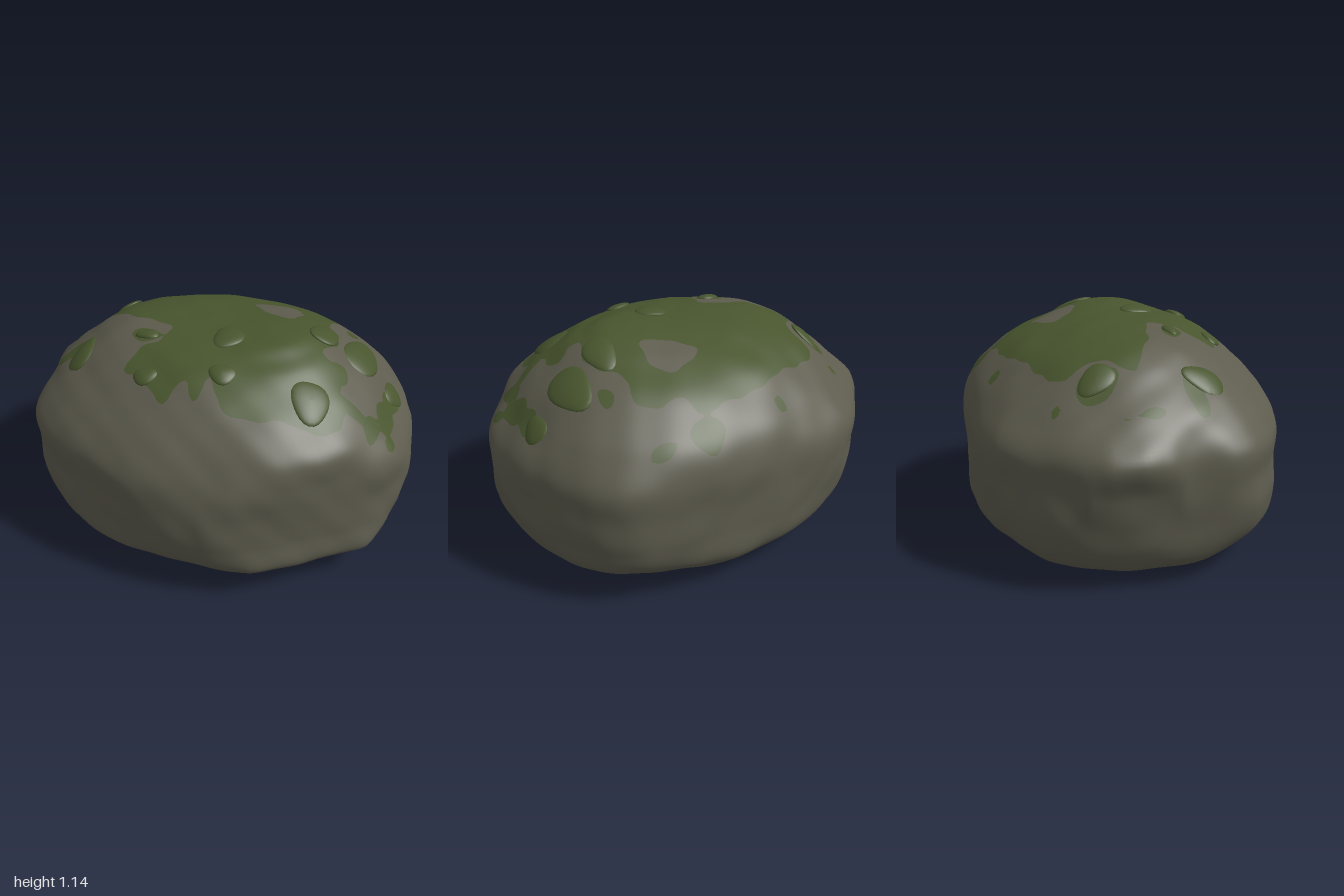
import * as THREE from 'three';

const COLS = 180, STEPS = 9;

// Plan outline of the boulder (x, z), counterclockwise seen from above
const PLAN = [
  [1, -0.06], [0.93, -0.3], [0.83, -0.5], [0.68, -0.67], [0.4, -0.75], [0.15, -0.78], [-0.2, -0.8], [-0.45, -0.77],
  [-0.65, -0.65], [-0.85, -0.45], [-0.99, -0.25], [-0.98, -0.05], [-0.93, 0.1], [-0.92, 0.3], [-0.8, 0.48],
  [-0.6, 0.63], [-0.4, 0.7], [-0.07, 0.78], [0.17, 0.79], [0.45, 0.67], [0.7, 0.48], [0.9, 0.3], [0.99, 0.1],
];

// Height, limits of the cross-section (x min, x max, z min, z max), squareness on the -x and +x side
const LEVELS = [
  [0.02, -0.11, -0.09, -0.01, 0.01, 2, 2], [0.01, -0.35, 0.15, -0.27, 0.25, 2, 2],
  [0.03, -0.67, 0.4, -0.52, 0.43, 2.1, 2.1], [0.1, -0.83, 0.75, -0.68, 0.61, 2.2, 2.3],
  [0.2, -0.89, 0.93, -0.77, 0.74, 2.4, 2.4], [0.35, -0.92, 0.985, -0.79, 0.785, 2.7, 2.7],
  [0.5, -0.95, 1, -0.8, 0.79, 2.8, 2.8], [0.66, -1, 0.97, -0.795, 0.76, 2.5, 2.7],
  [0.8, -0.88, 0.865, -0.74, 0.685, 2.05, 2.5], [0.92, -0.755, 0.76, -0.63, 0.58, 1.95, 2.4],
  [1.0, -0.65, 0.655, -0.52, 0.48, 2, 2.4], [1.07, -0.5, 0.55, -0.35, 0.36, 2, 2.3],
  [1.1, -0.34, 0.49, -0.25, 0.27, 2, 2.2], [1.13, 0.02, 0.41, -0.12, 0.16, 2, 2], [1.143, 0.24, 0.26, 0.01, 0.03, 2, 2],
];

// Main moss outline and the bare spot inside it (x, z)
const MOSS = [
  [-0.26, -0.53], [-0.13, -0.58], [0.09, -0.61], [0.27, -0.61], [0.31, -0.52], [0.43, -0.51], [0.5, -0.43], [0.48, -0.29],
  [0.55, -0.19], [0.56, -0.05], [0.52, 0.05], [0.62, 0.1], [0.66, 0.22], [0.7, 0.35], [0.6, 0.43], [0.46, 0.46],
  [0.33, 0.51], [0.17, 0.5], [0.08, 0.39], [0.04, 0.5], [-0.03, 0.42], [-0.11, 0.52], [-0.23, 0.44], [-0.36, 0.37],
  [-0.33, 0.27], [-0.24, 0.2], [-0.23, 0.08], [-0.34, 0.05], [-0.42, 0.03], [-0.55, -0.04], [-0.66, -0.1],
  [-0.55, -0.21], [-0.53, -0.33], [-0.56, -0.41], [-0.4, -0.5],
];
const BARE = [[0.08, -0.31], [0.15, -0.36], [0.28, -0.39], [0.33, -0.32], [0.32, -0.18], [0.22, -0.18]];

// Small moss patches: x, z, radius x, radius z
const PATCHES = [
  [0.27, -0.68, 0.08, 0.055], [0.48, -0.65, 0.07, 0.025], [-0.15, -0.66, 0.025, 0.03], [-0.65, -0.28, 0.07, 0.1],
  [-0.66, -0.47, 0.02, 0.025], [-0.83, -0.1, 0.018, 0.085], [-0.33, 0.17, 0.08, 0.045], [-0.75, 0.15, 0.1, 0.05],
  [0.86, 0.08, 0.045, 0.09], [0.82, 0.21, 0.035, 0.08], [0.91, 0.2, 0.022, 0.04], [0.71, 0.22, 0.08, 0.035],
  [0.62, 0.1, 0.05, 0.06], [0.6, -0.34, 0.03, 0.05], [0.86, -0.05, 0.04, 0.08],
];

// Raised moss cushions: x, z, radius x, radius z
const CUSHIONS = [
  [0.68, -0.17, 0.085, 0.15], [0.86, -0.13, 0.045, 0.08], [0.54, 0.32, 0.09, 0.1], [0.5, -0.12, 0.07, 0.11],
  [0.07, 0.12, 0.075, 0.085], [0.13, 0.36, 0.065, 0.05], [-0.68, 0.22, 0.065, 0.1], [-0.63, -0.27, 0.06, 0.085],
  [-0.24, 0.42, 0.06, 0.04], [-0.33, 0.17, 0.06, 0.035],
];
const CUSHION_HEIGHT = 0.017;

const smoothLoop = (points, n) =>
  new THREE.CatmullRomCurve3(points.map(([x, z]) => new THREE.Vector3(x, 0, z)), true).getPoints(n).slice(0, n);

const wobble = (x, y, z) =>
  Math.sin(7 * x + 3 * y + 1) * Math.sin(6 * z - 4 * y) + 0.5 * Math.sin(13 * x - 9 * z + 2) * Math.sin(14 * y + 5 * z)
  + 0.3 * Math.sin(24 * x + 11 * y) * Math.sin(23 * z - 17 * y);

// Signed distance to a closed outline, positive inside
function insideDistance(loop, x, z) {
  let best = Infinity, inside = false;
  loop.forEach((a, i) => {
    const b = loop[(i + 1) % loop.length], dx = b.x - a.x, dz = b.z - a.z;
    const t = THREE.MathUtils.clamp(((x - a.x) * dx + (z - a.z) * dz) / (dx * dx + dz * dz), 0, 1);
    best = Math.min(best, Math.hypot(x - a.x - t * dx, z - a.z - t * dz));
    if ((a.z > z) !== (b.z > z) && x < a.x + (z - a.z) / dz * dx) inside = !inside;
  });
  return inside ? best : -best;
}

// Plan point pulled in to the rounded limits of one level
function levelPoint(p, [y, x0, x1, z0, z1, eMinus, ePlus]) {
  const cx = (x0 + x1) / 2, cz = (z0 + z1) / 2, e = p.x < cx ? eMinus : ePlus;
  const reach = (Math.abs((p.x - cx) * 2 / (x1 - x0)) ** e + Math.abs((p.z - cz) * 2 / (z1 - z0)) ** e) ** (1 / e);
  const k = 1 / Math.max(1, reach);
  return new THREE.Vector3(cx + (p.x - cx) * k, y, cz + (p.z - cz) * k);
}

// Smooth rock surface, lofted through the cross-sections
function rockSurface() {
  const columns = smoothLoop(PLAN, COLS).map((p) =>
    new THREE.CatmullRomCurve3(LEVELS.map((level) => levelPoint(p, level))).getPoints((LEVELS.length - 1) * STEPS));
  const rows = columns[0].length, pos = [], index = [];
  for (let i = 0; i < rows; i++) {
    for (let j = 0; j < COLS; j++) {
      const { x, y, z } = columns[j][i], k = 1 + 0.009 * wobble(x, y, z);
      pos.push(x * k, Math.max(0, 0.55 + (y - 0.55) * k), z * k);
      if (i === rows - 1) continue;
      const a = i * COLS + j, b = i * COLS + (j + 1) % COLS;
      index.push(a, b, a + COLS, b, b + COLS, a + COLS);
    }
  }
  // Close the tiny openings at the bottom and the top
  const top = (rows - 1) * COLS;
  for (let j = 1; j + 1 < COLS; j++) index.push(0, j + 1, j, top, top + j, top + j + 1);
  const g = new THREE.BufferGeometry();
  g.setAttribute('position', new THREE.Float32BufferAttribute(pos, 3));
  g.setIndex(index);
  g.computeVertexNormals();
  return g;
}

// Cut the surface along the zero line of a field into two geometries
function splitSurface(g, field) {
  const P = g.attributes.position, N = g.attributes.normal;
  const verts = Array.from({ length: P.count }, (_, i) => {
    const p = new THREE.Vector3().fromBufferAttribute(P, i);
    return { p, n: new THREE.Vector3().fromBufferAttribute(N, i), f: field(p) };
  });
  const parts = [true, false].map((wanted) => {
    const pos = [], nor = [];
    const keep = (v) => (v.f > 0) === wanted;
    for (let t = 0; t < g.index.count; t += 3) {
      const tri = [0, 1, 2].map((k) => verts[g.index.getX(t + k)]), poly = [];
      tri.forEach((a, k) => {
        const b = tri[(k + 1) % 3];
        if (keep(a)) poly.push(a);
        if (keep(a) !== keep(b)) {
          const s = a.f / (a.f - b.f);
          poly.push({ p: a.p.clone().lerp(b.p, s), n: a.n.clone().lerp(b.n, s).normalize() });
        }
      });
      for (let k = 1; k + 1 < poly.length; k++) {
        for (const v of [poly[0], poly[k], poly[k + 1]]) {
          pos.push(...v.p.toArray());
          nor.push(...v.n.toArray());
        }
      }
    }
    const part = new THREE.BufferGeometry();
    part.setAttribute('position', new THREE.Float32BufferAttribute(pos, 3));
    part.setAttribute('normal', new THREE.Float32BufferAttribute(nor, 3));
    return part;
  });
  return { parts, verts };
}

export function createModel() {
  const stone = new THREE.MeshStandardMaterial({ color: 0x5e5c4e });
  stone.name = 'stone';
  const moss = new THREE.MeshStandardMaterial({ color: 0x48552e });
  moss.name = 'moss';
  const group = new THREE.Group();
  group.name = 'mossyBoulder';
  const add = (name, geometry, material) => {
    const mesh = new THREE.Mesh(geometry, material);
    mesh.name = name;
    group.add(mesh);
  };

  // Boulder and the moss lying flush on it
  const mossLoop = smoothLoop(MOSS, 140), bareLoop = smoothLoop(BARE, 30);
  const mossField = ({ x, y, z }) => {
    if (y < 0.68) return -1;
    let f = Math.min(insideDistance(mossLoop, x, z), -insideDistance(bareLoop, x, z));
    for (const [px, pz, rx, rz] of PATCHES) {
      f = Math.max(f, (1 - Math.hypot((x - px) / rx, (z - pz) / rz)) * Math.min(rx, rz));
    }
    return f + 0.009 * Math.sin(31 * x + 9 * z) * Math.sin(37 * z - 8 * x);
  };
  const { parts, verts } = splitSurface(rockSurface(), mossField);
  add('mossCover', parts[0], moss);
  add('boulder', parts[1], stone);

  // Cushions bent to follow the slope
  CUSHIONS.forEach(([x, z, rx, rz], i) => {
    const gap = (v) => (v.p.y < 0.66 ? 9 : Math.hypot(v.p.x - x, v.p.z - z));
    const { p, n } = verts.reduce((a, b) => (gap(b) < gap(a) ? b : a));
    const g = new THREE.SphereGeometry(1, 24, 12);
    const q = g.attributes.position;
    for (let k = 0; k < q.count; k++) {
      const s = 1 + 0.08 * Math.sin(3 * Math.atan2(q.getZ(k), q.getX(k)) + i * 2);
      const u = q.getX(k) * s, w = q.getZ(k) * s;
      q.setXYZ(k, u, q.getY(k) - 0.6 * ((u * rx) ** 2 + (w * rz) ** 2) / CUSHION_HEIGHT, w);
    }
    g.computeVertexNormals();
    const ny = Math.max(n.y, 0.4);
    g.applyMatrix4(new THREE.Matrix4().makeBasis(
      new THREE.Vector3(rx, -rx * n.x / ny, 0),
      n.clone().multiplyScalar(CUSHION_HEIGHT),
      new THREE.Vector3(0, -rz * n.z / ny, rz)).setPosition(p));
    add(`mossCushion${i + 1}`, g, moss);
  });
  return group;
}
